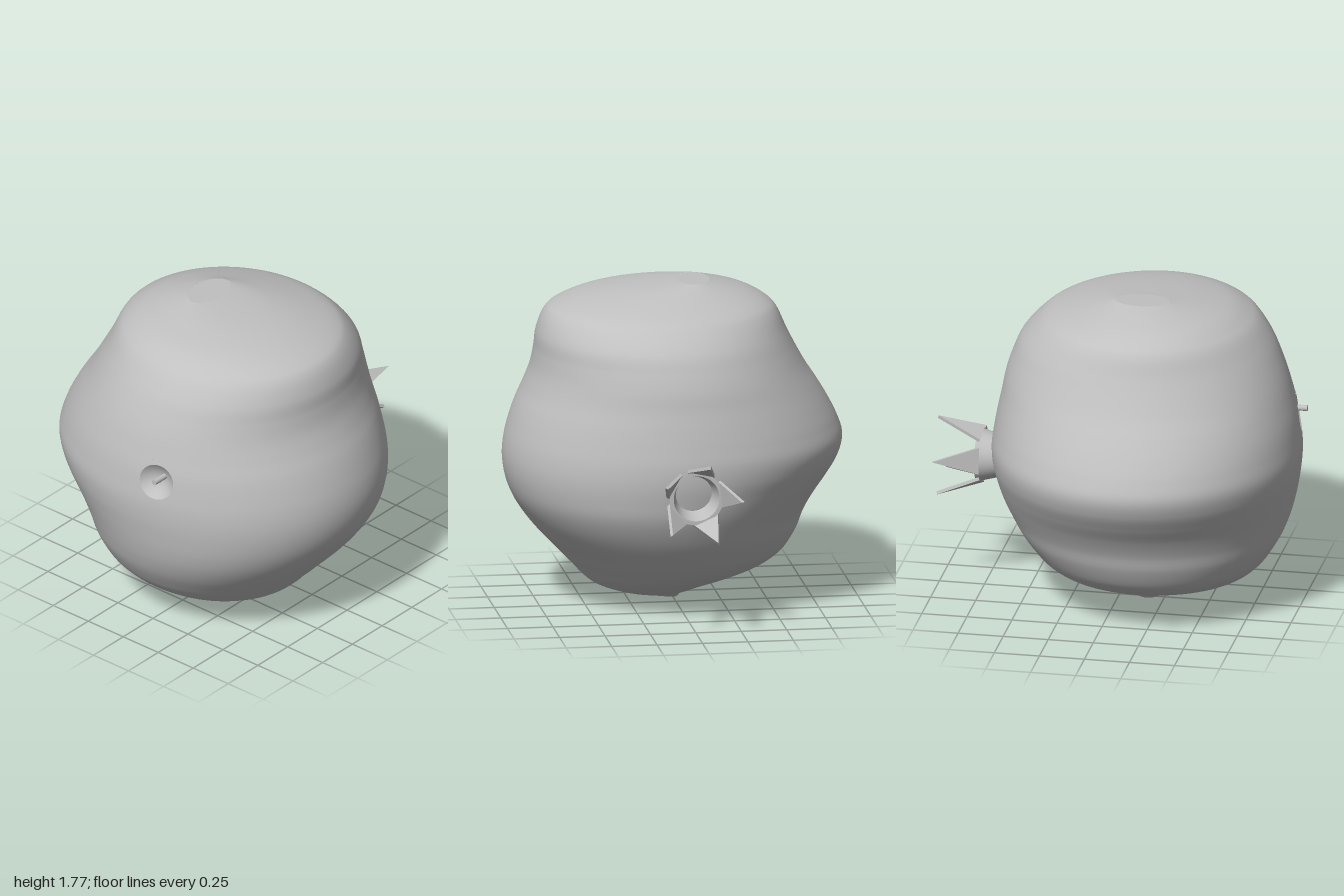
import * as THREE from 'three';
import { mergeVertices, toCreasedNormals } from 'three/addons/utils/BufferGeometryUtils.js';

// Horizontal slices of the fruit: height, left x, right x, back z, front z
const SLICES = [
  [0, -0.03, 0.04, 0.11, 0.2], [0.03, -0.06, 0.2, 0.02, 0.31], [0.06, -0.12, 0.33, -0.09, 0.41],
  [0.1, -0.22, 0.44, -0.19, 0.52], [0.15, -0.37, 0.505, -0.29, 0.65], [0.2, -0.5, 0.55, -0.36, 0.735],
  [0.25, -0.58, 0.6, -0.415, 0.79], [0.3, -0.63, 0.645, -0.46, 0.83], [0.4, -0.685, 0.74, -0.54, 0.89],
  [0.5, -0.72, 0.82, -0.6, 0.93], [0.6, -0.775, 0.88, -0.645, 0.957], [0.7, -0.845, 0.915, -0.67, 0.977],
  [0.8, -0.905, 0.928, -0.687, 0.993], [0.9, -0.93, 0.92, -0.69, 0.999], [1.0, -0.9, 0.895, -0.677, 0.99],
  [1.1, -0.85, 0.86, -0.66, 0.975], [1.2, -0.79, 0.815, -0.64, 0.95], [1.3, -0.725, 0.777, -0.622, 0.92],
  [1.4, -0.67, 0.757, -0.59, 0.88], [1.5, -0.62, 0.745, -0.545, 0.83], [1.6, -0.575, 0.705, -0.455, 0.76],
  [1.65, -0.53, 0.645, -0.38, 0.7], [1.7, -0.44, 0.5, -0.235, 0.605], [1.74, -0.32, 0.28, -0.1, 0.45],
  [1.77, -0.205, -0.02, 0, 0.295],
];
const spline = (pick) => new THREE.CatmullRomCurve3(
  SLICES.map((s) => new THREE.Vector3(...pick(s))), false, 'catmullrom', 0.5);
const sideCurve = spline(([y, l, r]) => [l, y, r]);
const depthCurve = spline(([y, , , b, f]) => [b, y, f]);

// Centre and half widths of the elliptical slice at v (0 bottom, 1 top)
function slice(v) {
  const s = sideCurve.getPoint(v), d = depthCurve.getPoint(v);
  return { y: s.y, cx: (s.x + s.z) / 2, rx: (s.z - s.x) / 2, cz: (d.x + d.z) / 2, rz: (d.z - d.x) / 2 };
}

// Skin point: u is the angle from the front towards +x
function skin(u, v) {
  const s = slice(v);
  return new THREE.Vector3(s.cx + s.rx * Math.sin(u), s.y, s.cz + s.rz * Math.cos(u));
}

function skinNormal(u, v) {
  const e = 0.002, v0 = Math.max(0, v - e), v1 = Math.min(1, v + e);
  const du = skin(u + e, v).sub(skin(u - e, v));
  return du.cross(skin(u, v1).sub(skin(u, v0))).normalize();
}

// Skin coordinates of the front surface point at x, y
function skinAt(x, y) {
  let lo = 0, hi = 1;
  for (let i = 0; i < 30; i++) {
    const mid = (lo + hi) / 2;
    if (slice(mid).y < y) lo = mid; else hi = mid;
  }
  const s = slice(lo);
  return [Math.asin((x - s.cx) / s.rx), lo];
}

// Grid of quads from point(i, j), with optional normals and skipped cells
function grid(ni, nj, point, normal, skip = () => false) {
  const pos = [], nor = [], index = [];
  for (let j = 0; j <= nj; j++) {
    for (let i = 0; i <= ni; i++) {
      pos.push(...point(i, j).toArray());
      if (normal) nor.push(...normal(i, j).toArray());
      if (i === ni || j === nj || skip(i, j)) continue;
      const a = j * (ni + 1) + i, b = a + 1, c = a + ni + 1, d = c + 1;
      index.push(a, b, d, a, d, c);
    }
  }
  let geo = new THREE.BufferGeometry();
  geo.setAttribute('position', new THREE.Float32BufferAttribute(pos, 3));
  geo.setIndex(index);
  if (normal) geo.setAttribute('normal', new THREE.Float32BufferAttribute(nor, 3));
  else {
    geo = mergeVertices(geo);
    geo.computeVertexNormals();
  }
  return geo;
}

export function createModel() {
  const model = new THREE.Group();
  model.name = 'fruit';
  const grey = new THREE.MeshStandardMaterial({ color: 0xc0c0c0 });
  grey.name = 'grey';
  const add = (parent, name, geometry) => {
    const mesh = new THREE.Mesh(geometry, grey);
    mesh.name = name;
    parent.add(mesh);
    return mesh;
  };

  // Lumpy skin, leaving a window at the front for the dimple
  const NU = 96, NV = 96, win = { i0: 49, i1: 54, j0: 53, j1: 63 };
  const toU = (i) => (i / NU * 2 - 1) * Math.PI;
  add(model, 'skin', grid(NU, NV,
    (i, j) => skin(toU(i), j / NV),
    (i, j) => skinNormal(toU(i), j / NV),
    (i, j) => i >= win.i0 && i < win.i1 && j >= win.j0 && j < win.j1));

  // Flat caps at the top and the bottom
  const cap = (v, flip) => grid(1, 48, (i, j) => {
    const s = slice(v);
    const k = flip ? 1 - i : i;
    return new THREE.Vector3(s.cx, s.y, s.cz).lerp(skin(j / 48 * Math.PI * 2, v), k);
  });
  add(model, 'topCap', cap(1, false));
  add(model, 'bottomCap', cap(0, true));

  // Skin between the window's edge and the round rim of the dimple
  const SIDES = 64, hole = { x: 0.2, y: 1.05, r: 0.1 };
  const rim = [];
  for (let j = 0; j <= SIDES; j++) {
    const a = j / SIDES * Math.PI * 2;
    rim.push(skinAt(hole.x + hole.r * Math.cos(a), hole.y + hole.r * Math.sin(a)));
  }
  const u0 = toU(win.i0), u1 = toU(win.i1), v0 = win.j0 / NV, v1 = win.j1 / NV;
  const between = (i, j) => {
    const a = j / SIDES * Math.PI * 2, c = Math.cos(a), s = Math.sin(a);
    const m = Math.max(Math.abs(c), Math.abs(s)), k = i / 4;
    const u = (u0 + u1) / 2 + (u1 - u0) / 2 * c / m;
    const v = (v0 + v1) / 2 + (v1 - v0) / 2 * s / m;
    return [rim[j][0] + (u - rim[j][0]) * k, rim[j][1] + (v - rim[j][1]) * k];
  };
  add(model, 'skinAroundDimple', grid(4, SIDES,
    (i, j) => skin(...between(i, j)), (i, j) => skinNormal(...between(i, j))));

  // Hollow dimple
  const middle = skinAt(hole.x, hole.y);
  const centre = skin(...middle), inward = skinNormal(...middle).negate();
  add(model, 'dimple', grid(10, SIDES, (i, j) => {
    const k = i / 10;
    return centre.clone().lerp(skin(...rim[j]), k).addScaledVector(inward, 0.05 * (1 - k * k));
  }));

  // Short stem standing in the dimple
  const stem = add(model, 'stem', new THREE.CylinderGeometry(0.016, 0.016, 0.12, 20));
  stem.rotation.x = Math.PI / 2;
  stem.position.set(0.22, 1.075, 0.94);

  // Crown at the back: its local y points to -z
  const crown = new THREE.Group();
  crown.name = 'crown';
  crown.position.set(0, 0.757, -0.76);
  crown.rotation.x = -Math.PI / 2;
  model.add(crown);

  const profile = [[0.1, -0.16], [0.148, 0.02], [0.126, 0.02], [0.09, -0.12]]
    .map(([x, y]) => new THREE.Vector2(x, y));
  add(crown, 'crownNeck', toCreasedNormals(new THREE.LatheGeometry(profile, 40), 0.6));

  // Five pointed sepals leaning outwards
  const leaf = new THREE.Shape([
    new THREE.Vector2(-0.075, 0), new THREE.Vector2(0.075, 0), new THREE.Vector2(0, 0.256)]);
  const leafGeo = new THREE.ExtrudeGeometry(leaf, { depth: 0.018, bevelEnabled: false });
  for (let i = 0; i < 5; i++) {
    const a = (30 + i * 72) * Math.PI / 180;
    const sepal = add(crown, 'sepal', leafGeo);
    sepal.rotation.order = 'YXZ';
    sepal.rotation.set(0.36, Math.PI / 2 - a, 0);
    sepal.position.set(0.128 * Math.cos(a), 0, 0.128 * Math.sin(a));
  }
  return model;
}
